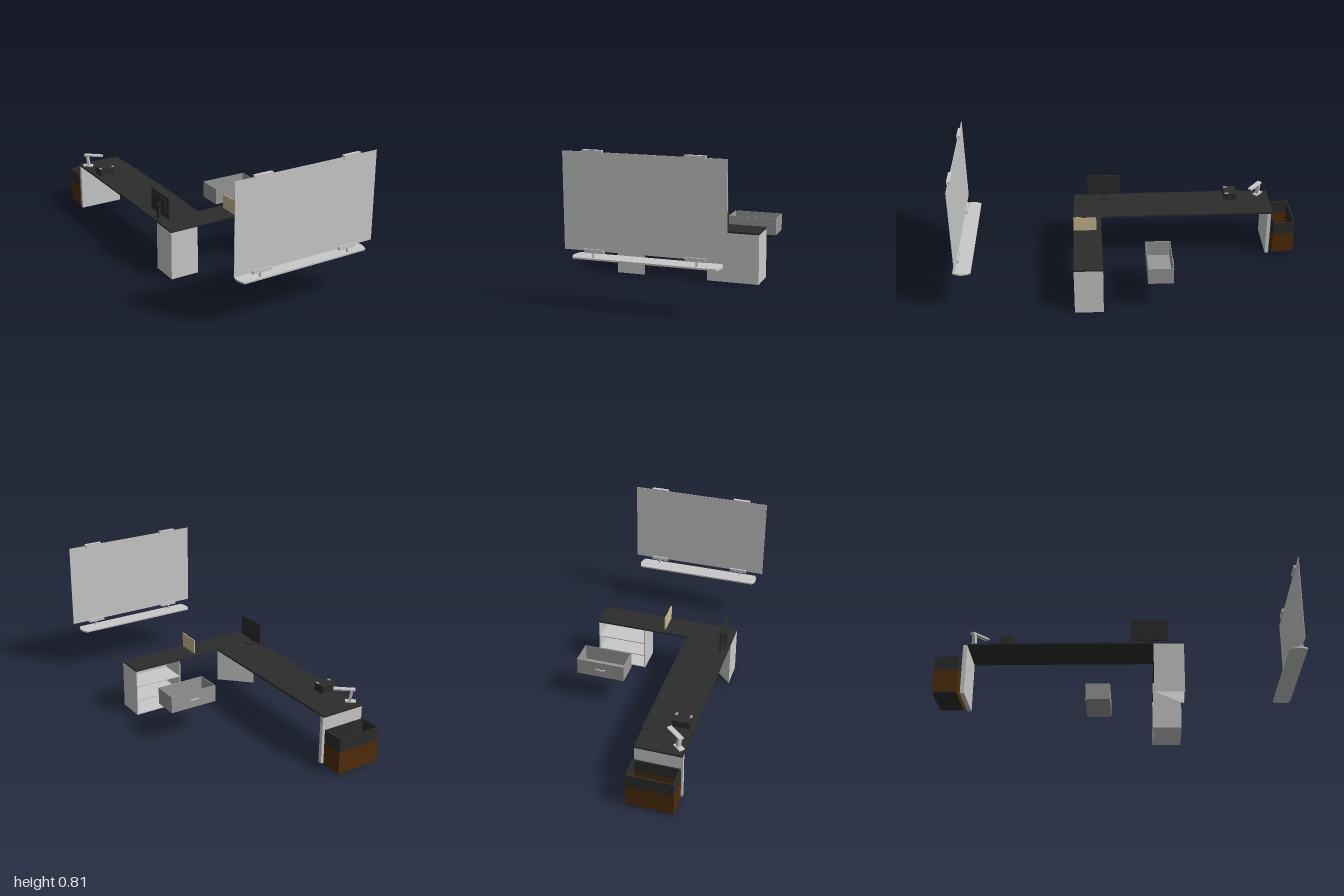
import * as THREE from 'three';

const mat = (name, color, opts = {}) => {
  const m = new THREE.MeshStandardMaterial({ color, ...opts });
  m.name = name;
  return m;
};

export function createModel() {
  const root = new THREE.Group();
  root.name = 'officeFurniture';
  const light = mat('lightGrey', 0xcacaca);
  const shell = mat('lightGreyPanel', 0xcacaca, { side: THREE.DoubleSide });
  const grey = mat('drawerGrey', 0x989898);
  const black = mat('charcoal', 0x2c2c2c);
  const brown = mat('brownWood', 0x4e2d08);
  const tan = mat('tan', 0xcbbb91);

  const add = (parent, name, geo, m) => {
    const mesh = new THREE.Mesh(geo, m);
    mesh.name = name;
    parent.add(mesh);
    return mesh;
  };
  // Box given by its limits on each axis
  const box = (parent, name, m, x0, x1, y0, y1, z0, z1) => {
    const mesh = add(parent, name, new THREE.BoxGeometry(x1 - x0, y1 - y0, z1 - z0), m);
    mesh.position.set((x0 + x1) / 2, (y0 + y1) / 2, (z0 + z1) / 2);
    return mesh;
  };
  const group = (name, parent = root) => {
    const g = new THREE.Group();
    g.name = name;
    parent.add(g);
    return g;
  };
  // Four upright walls around a rectangle
  const walls = (parent, name, m, x0, x1, y0, y1, z0, z1, t) => {
    box(parent, name + 'Left', m, x1 - t, x1, y0, y1, z0, z1);
    box(parent, name + 'Right', m, x0, x0 + t, y0, y1, z0, z1);
    box(parent, name + 'Front', m, x0 + t, x1 - t, y0, y1, z1 - t, z1);
    box(parent, name + 'Back', m, x0 + t, x1 - t, y0, y1, z0, z0 + t);
  };

  // L-shaped desk top in sections
  const desk = group('desk');
  box(desk, 'cornerTop', black, -0.412, -0.148, 0.278, 0.288, -0.03, 0.333);
  box(desk, 'sideTop', black, -0.148, 0.412, 0.278, 0.288, 0.17, 0.333);
  box(desk, 'middleTop', black, -0.412, -0.145, 0.28, 0.291, -0.71, -0.03);
  box(desk, 'endTop', black, -0.412, -0.148, 0.278, 0.288, -0.86, -0.71);
  box(desk, 'endLeg', light, -0.412, -0.148, 0, 0.278, -0.852, -0.83);

  // Triangular corner leg, open underneath
  const tri = [[-0.412, 0.333], [-0.247, 0.333], [-0.412, 0.17]];
  const verts = [];
  tri.forEach(([ax, az], i) => {
    const [bx, bz] = tri[(i + 1) % 3];
    verts.push(ax, 0, az, bx, 0, bz, bx, 0.278, bz, ax, 0, az, bx, 0.278, bz, ax, 0.278, az);
  });
  const legGeo = new THREE.BufferGeometry();
  legGeo.setAttribute('position', new THREE.Float32BufferAttribute(verts, 3));
  legGeo.computeVertexNormals();
  add(desk, 'cornerLeg', legGeo, shell);

  // Cabinet, open towards the back
  const cabinet = group('cabinet');
  const t = 0.006;
  box(cabinet, 'cabinetFront', light, 0.118, 0.412, 0, 0.278, 0.333 - t, 0.333);
  for (const x of [0.118, 0.412 - t]) box(cabinet, 'cabinetSide', light, x, x + t, 0, 0.278, 0.17, 0.333 - t);
  for (const y of [0, 0.085, 0.175]) box(cabinet, 'cabinetShelf', light, 0.118 + t, 0.412 - t, y, y + t, 0.172, 0.333 - t);

  // Separate drawer with a handle
  const drawer = group('drawer');
  walls(drawer, 'drawerWall', grey, 0.122, 0.405, 0.18, 0.278, -0.222, -0.078, 0.004);
  box(drawer, 'drawerFloor', grey, 0.126, 0.401, 0.18, 0.185, -0.218, -0.082);
  box(drawer, 'drawerHandle', light, 0.235, 0.29, 0.226, 0.234, -0.23, -0.226);
  for (const x of [0.235, 0.284]) box(drawer, 'handleMount', light, x, x + 0.006, 0.226, 0.234, -0.226, -0.222);

  // Two-tone planter
  const planter = group('planter');
  walls(planter, 'planterLower', brown, -0.408, -0.148, 0.01, 0.135, -1, -0.872, 0.008);
  walls(planter, 'planterUpper', black, -0.408, -0.148, 0.135, 0.212, -1, -0.872, 0.008);
  box(planter, 'planterFloor', black, -0.408, -0.148, 0.006, 0.012, -1, -0.872);

  // Divider with a small step in its upper edge
  const divider = new THREE.Shape();
  [[-0.333, 0.288], [-0.2, 0.288], [-0.2, 0.371], [-0.285, 0.371], [-0.297, 0.376], [-0.333, 0.376]]
    .forEach(([u, v], i) => (i ? divider.lineTo(u, v) : divider.moveTo(u, v)));
  const div = add(root, 'divider', new THREE.ExtrudeGeometry(divider, { depth: 0.005, bevelEnabled: false }), tan);
  div.rotation.y = Math.PI / 2;
  div.position.x = -0.0025;

  // Monitor facing the seat
  const monitor = group('monitor');
  box(monitor, 'screen', black, -0.379, -0.371, 0.315, 0.44, 0.05, 0.248);
  box(monitor, 'screenBack', black, -0.384, -0.379, 0.335, 0.42, 0.08, 0.218);
  box(monitor, 'monitorNeck', black, -0.394, -0.384, 0.294, 0.38, 0.134, 0.164);
  box(monitor, 'monitorBase', black, -0.402, -0.345, 0.288, 0.295, 0.118, 0.18);

  // Desk phone
  const phone = group('deskPhone');
  box(phone, 'phoneBody', black, -0.392, -0.296, 0.298, 0.336, -0.658, -0.584);
  for (const x of [-0.391, -0.311]) {
    box(phone, 'phoneFoot', black, x, x + 0.014, 0.29, 0.298, -0.65, -0.58);
    box(phone, 'phoneBracket', grey, x, x + 0.014, 0.31, 0.337, -0.61, -0.587);
  }

  // Desk lamp, turned diagonally
  const lamp = group('lamp');
  lamp.position.set(-0.375, 0.288, -0.8);
  lamp.rotation.y = -0.7;
  box(lamp, 'lampBase', light, -0.03, 0.03, 0, 0.007, -0.016, 0.016);
  const post = box(lamp, 'lampPost', light, -0.007, 0.007, 0.004, 0.075, -0.012, 0.012);
  post.rotation.z = 0.15;
  box(lamp, 'lampHead', light, -0.022, 0.094, 0.068, 0.077, -0.014, 0.014);

  // Screen panel with clips, posts and a rounded ledge
  const board = group('board');
  box(board, 'boardPanel', light, -0.425, 0.425, 0.3, 0.8, 0.979, 0.982);
  for (const x of [-0.265, 0.265]) {
    for (const y of [0.3, 0.8]) box(board, 'boardClip', light, x - 0.053, x + 0.053, y - 0.01, y + 0.01, 0.969, 0.989);
    const p = add(board, 'boardPost', new THREE.CylinderGeometry(0.006, 0.006, 0.028, 16), light);
    p.position.set(x + Math.sign(x) * 0.005, 0.278, 0.98);
  }
  const ledge = new THREE.Shape();
  ledge.moveTo(-0.375, -1);
  ledge.lineTo(0.375, -1);
  ledge.quadraticCurveTo(0.405, -0.95, 0.375, -0.9);
  ledge.lineTo(-0.375, -0.9);
  ledge.quadraticCurveTo(-0.405, -0.95, -0.375, -1);
  const ledgeMesh = add(board, 'ledge', new THREE.ExtrudeGeometry(ledge, { depth: 0.009, bevelEnabled: false, curveSegments: 8 }), light);
  ledgeMesh.rotation.x = -Math.PI / 2;
  ledgeMesh.position.y = 0.257;

  return root;
}
